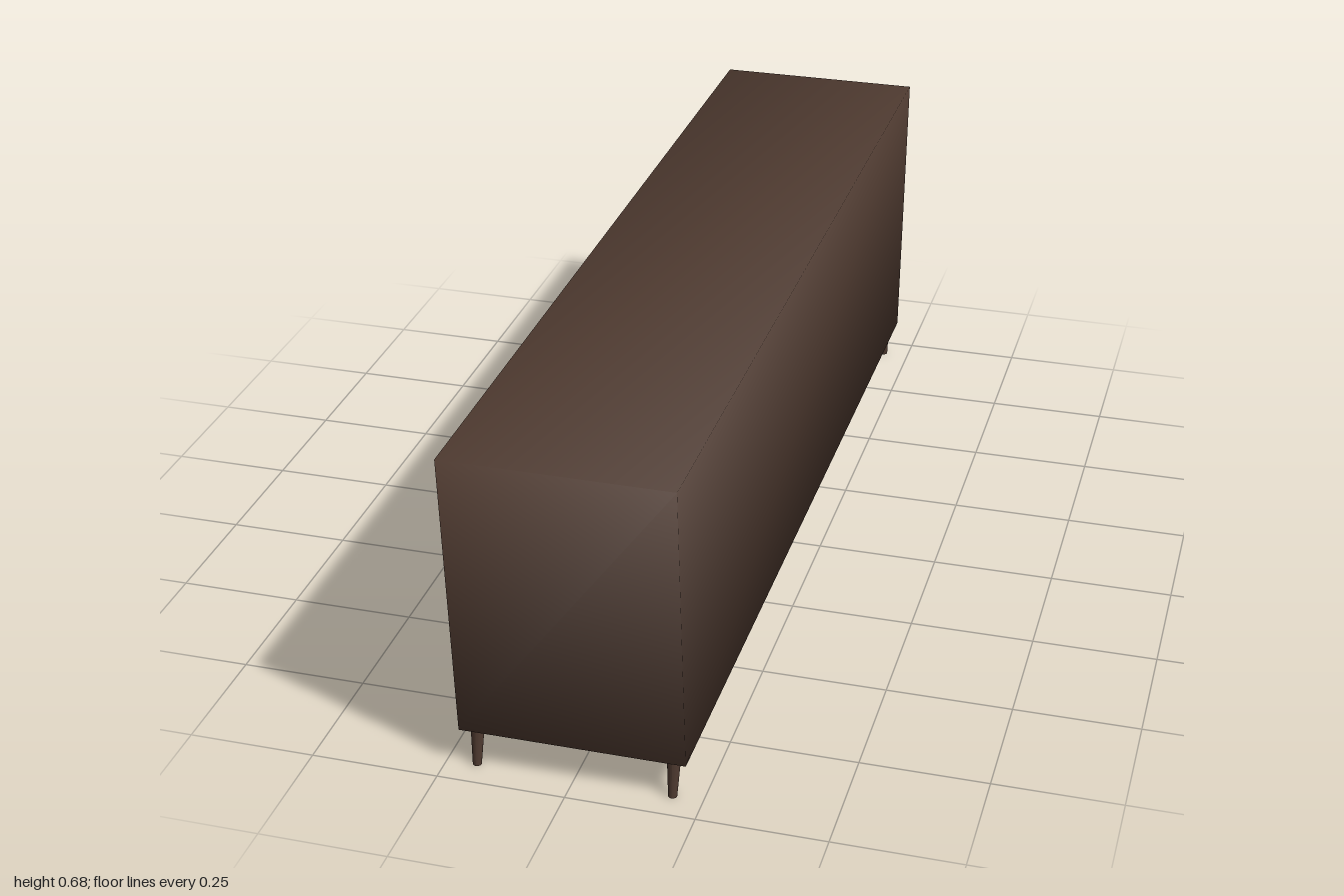
import * as THREE from 'three';
import { mergeVertices } from 'three/addons/utils/BufferGeometryUtils.js';

const BOTTOM = 0.08, TOP = 0.68, WALL = 0.016;
const FRONT = -0.22, BACK = 0.22; // the open side faces -x

// Half length of the tapered case at height y
const halfLength = (y) => 0.955 + 0.045 * (y - BOTTOM) / (TOP - BOTTOM);

// Open case lofted through rings: back, front rim, then inwards to the inner back
function caseGeometry() {
  const rings = [[BACK, 0], [FRONT, 0], [FRONT, WALL], [BACK - WALL, WALL]];
  const pos = [], idx = [];
  for (const [x, inset] of rings) {
    const y0 = BOTTOM + inset, y1 = TOP - inset;
    const z0 = halfLength(y0) - inset, z1 = halfLength(y1) - inset;
    pos.push(x, y0, z0, x, y0, -z0, x, y1, -z1, x, y1, z1);
  }
  idx.push(0, 1, 2, 0, 2, 3);
  for (let k = 0; k < rings.length - 1; k++) {
    for (let i = 0; i < 4; i++) {
      const a = k * 4 + i, b = k * 4 + (i + 1) % 4, c = b + 4, d = a + 4;
      idx.push(a, d, c, a, c, b);
    }
  }
  const e = (rings.length - 1) * 4;
  idx.push(e + 3, e + 2, e + 1, e + 3, e + 1, e);
  const geo = new THREE.BufferGeometry();
  geo.setAttribute('position', new THREE.Float32BufferAttribute(pos, 3));
  geo.setIndex(idx);
  geo.computeVertexNormals();
  return geo;
}

// Box with shared corner normals, given by its limits
function smoothBox(x0, x1, y0, y1, z0, z1) {
  let geo = new THREE.BoxGeometry(x1 - x0, y1 - y0, z1 - z0);
  geo.translate((x0 + x1) / 2, (y0 + y1) / 2, (z0 + z1) / 2);
  geo.deleteAttribute('uv');
  geo.deleteAttribute('normal');
  geo = mergeVertices(geo);
  geo.computeVertexNormals();
  return geo;
}

export function createModel() {
  const wood = new THREE.MeshStandardMaterial({ color: 0x4d392f });
  wood.name = 'darkWood';
  const model = new THREE.Group();
  model.name = 'sideboard';
  const add = (name, geo, parent = model) => {
    const mesh = new THREE.Mesh(geo, wood);
    mesh.name = name;
    parent.add(mesh);
    return mesh;
  };

  add('case', caseGeometry());

  // Dividers and the shelf between them
  const y0 = BOTTOM + WALL, y1 = TOP - WALL, inBack = BACK - WALL;
  const dividers = [-0.355, 0.385], half = 0.009;
  for (const z of dividers) {
    add('divider', smoothBox(FRONT + 0.004, inBack, y0, y1, z - half, z + half));
  }
  add('shelf', smoothBox(FRONT + 0.006, inBack, 0.368, 0.384, dividers[0] + half, dividers[1] - half));

  // Louvred doors, with slats following the slanted ends
  const railTop = y0 + 0.03, count = 22, pitch = (y1 - railTop) / count;
  dividers.forEach((divider, n) => {
    const side = n ? 1 : -1;
    const door = new THREE.Group();
    door.name = 'louvredDoor';
    model.add(door);
    const inner = Math.abs(divider) + half + 0.003;
    const addBar = (name, y, depth, height, x, tilt) => {
      const outer = halfLength(y) - WALL - 0.002;
      const bar = add(name, new THREE.BoxGeometry(depth, height, outer - inner), door);
      bar.position.set(x, y, side * (inner + outer) / 2);
      bar.rotation.z = tilt;
    };
    addBar('bottomRail', y0 + 0.015, 0.018, 0.026, FRONT + 0.013, 0);
    for (let i = 0; i < count; i++) {
      const y = railTop + (i + 0.5) * pitch;
      addBar('slat', y, 0.007, pitch * 1.05, FRONT + 0.014, -0.5);
    }
    // Panel behind the slats, slanted like the case end
    const panel = new THREE.BoxGeometry(0.008, y1 - y0, 1);
    const p = panel.attributes.position;
    for (let i = 0; i < p.count; i++) {
      const y = p.getY(i) + (y0 + y1) / 2;
      const isOuter = p.getZ(i) * side > 0;
      p.setXYZ(i, p.getX(i) + FRONT + 0.026, y, side * (isOuter ? halfLength(y) - WALL : inner));
    }
    panel.computeVertexNormals();
    add('doorPanel', panel, door);
  });

  // Tapered legs, sheared outwards towards the ends
  for (const x of [-0.191, 0.191]) {
    for (const side of [-1, 1]) {
      const geo = new THREE.CylinderGeometry(0.0135, 0.0085, 0.085, 20);
      geo.translate(0, 0.0425, 0);
      const p = geo.attributes.position;
      for (let i = 0; i < p.count; i++) {
        p.setZ(i, p.getZ(i) + side * (0.08 - p.getY(i)) * 0.14);
      }
      geo.computeVertexNormals();
      add('leg', geo).position.set(x, 0, side * 0.931);
    }
  }
  return model;
}
